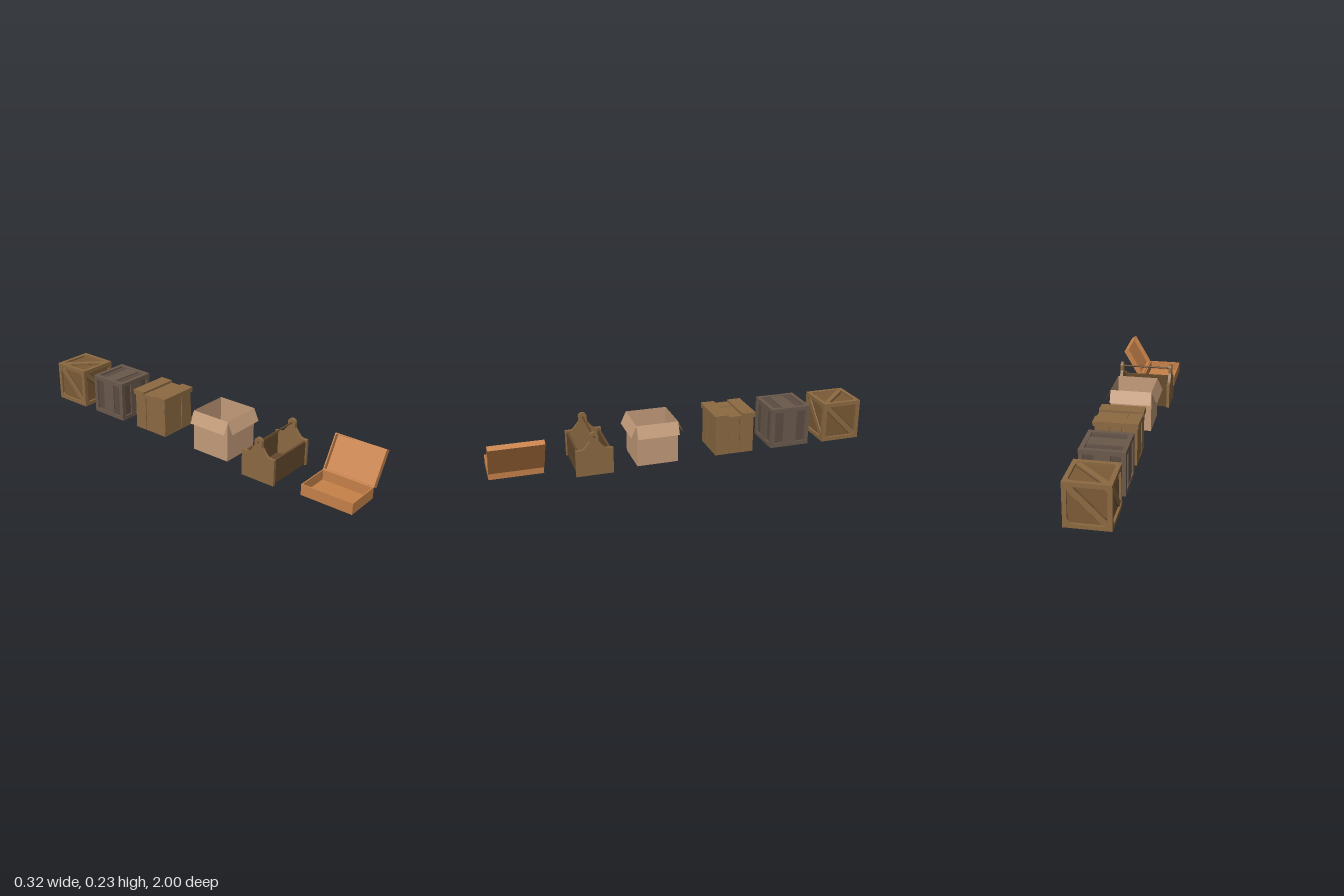
import * as THREE from 'three';

const mat = (name, color, side = THREE.FrontSide) => {
  const m = new THREE.MeshStandardMaterial({ color, side });
  m.name = name;
  return m;
};

export function createModel() {
  const root = new THREE.Group();
  root.name = 'boxCollection';
  const wood = mat('wood', 0x8c6a42);
  const darkWood = mat('darkWood', 0x64492c);
  const panelWood = mat('panelWood', 0x7c5b36);
  const greyWood = mat('greyWood', 0x6a594c);
  const greyPanel = mat('greyPanel', 0x5c4c42);
  const card = mat('cardboard', 0xc49c7a, THREE.DoubleSide);
  const orange = mat('orangeWood', 0xc8824a);

  const group = (name, x, y, z, parent = root) => {
    const g = new THREE.Group();
    g.name = name;
    g.position.set(x, y, z);
    parent.add(g);
    return g;
  };
  const add = (parent, name, geo, m, x = 0, y = 0, z = 0) => {
    const mesh = new THREE.Mesh(geo, m);
    mesh.name = name;
    mesh.position.set(x, y, z);
    parent.add(mesh);
    return mesh;
  };
  // box given by its minimum and maximum corners
  const box = (parent, name, m, x0, x1, y0, y1, z0, z1) =>
    add(parent, name, new THREE.BoxGeometry(x1 - x0, y1 - y0, z1 - z0), m,
      (x0 + x1) / 2, (y0 + y1) / 2, (z0 + z1) / 2);
  const poly = pts => pts.map(p => new THREE.Vector2(p[0], p[1]));
  const extrude = (shape, depth) =>
    new THREE.ExtrudeGeometry(shape, { depth, bevelEnabled: false, curveSegments: 10 });

  // runs build(face, index) in six groups whose +z points out of a cube
  const sixFaces = (parent, build) => {
    const turns = [[0, 0], [0, Math.PI / 2], [0, Math.PI], [0, -Math.PI / 2],
      [-Math.PI / 2, 0], [Math.PI / 2, 0]];
    turns.forEach(([rx, ry], i) => {
      const face = group('face', 0, 0, 0, parent);
      face.rotation.set(rx, ry, 0);
      build(face, i);
    });
  };

  // hollow tray, open towards +y, with its corner at the origin
  const tray = (parent, w, h, d, t) => {
    box(parent, 'trayFloor', orange, 0, w, 0, t, -d / 2, d / 2);
    for (const s of [0, 1]) {
      box(parent, 'trayEnd', orange, s * (w - t), s * (w - t) + t, t, h, -d / 2, d / 2);
      const z = s ? d / 2 - t : -d / 2;
      box(parent, 'traySide', orange, t, w - t, t, h, z, z + t);
    }
  };

  // hinged flat box
  const hinged = group('hingedBox', 0, 0, 0.858);
  tray(group('hingedBase', -0.145, 0.004, 0, hinged), 0.187, 0.058, 0.274, 0.006);
  const lid = group('hingedLid', 0.068, 0.047, 0, hinged);
  lid.rotation.z = Math.PI / 3;
  tray(lid, 0.186, 0.03, 0.274, 0.006);

  // tool carrier
  const carrier = group('toolCarrier', -0.0125, 0, 0.48);
  const end = new THREE.Shape();
  end.moveTo(-0.095, 0);
  end.lineTo(0.095, 0);
  end.lineTo(0.095, 0.138);
  end.lineTo(0.062, 0.138);
  end.quadraticCurveTo(0.05, 0.142, 0.022, 0.182);
  end.lineTo(0.022, 0.207);
  end.absarc(0, 0.207, 0.022, 0, Math.PI, false);
  end.lineTo(-0.022, 0.182);
  end.quadraticCurveTo(-0.05, 0.142, -0.062, 0.138);
  end.lineTo(-0.095, 0.138);
  end.closePath();
  for (const x of [-0.147, 0.131]) {
    const e = add(carrier, 'carrierEnd', extrude(end, 0.016), wood, x, 0, 0);
    e.rotation.y = Math.PI / 2;
  }
  for (const s of [-1, 1]) {
    const z = s * 0.082;
    box(carrier, 'carrierSide', darkWood, -0.131, 0.131, 0.004, 0.13, z - 0.006, z + 0.006);
  }
  box(carrier, 'carrierBottom', wood, -0.131, 0.131, 0.003, 0.01, -0.076, 0.076);
  box(carrier, 'carrierFloor', darkWood, -0.131, 0.131, 0.01, 0.016, -0.076, 0.076);
  const rod = add(carrier, 'carrierHandle', new THREE.CylinderGeometry(0.0045, 0.0045, 0.3, 10),
    darkWood, 0, 0.206, 0);
  rod.rotation.z = Math.PI / 2;

  // open cardboard carton: thin walls with a folded-out flap on each
  const carton = group('openCarton', 0, 0.004, 0.148);
  const half = 0.109, top = 0.22;
  const floor = add(carton, 'cartonFloor', new THREE.PlaneGeometry(2 * half, 2 * half), card);
  floor.rotation.x = -Math.PI / 2;
  for (let i = 0; i < 4; i++) {
    const side = group('cartonSide', 0, 0, 0, carton);
    side.rotation.y = i * Math.PI / 2;
    add(side, 'cartonWall', new THREE.PlaneGeometry(2 * half, top), card, 0, top / 2, half);
    const hinge = group('flapHinge', 0, top, half, side);
    hinge.rotation.x = -0.43;
    add(hinge, 'cartonFlap', new THREE.PlaneGeometry(2 * half, 0.07), card, 0, -0.035, 0);
  }

  // plank box with battened lid
  const plank = group('plankBox', 0, 0, -0.272);
  box(plank, 'plankCore', darkWood, -0.099, 0.099, 0.007, 0.205, -0.099, 0.099);
  for (let i = 0; i < 4; i++) {
    const side = group('plankSide', 0, 0, 0, plank);
    side.rotation.y = i * Math.PI / 2;
    [[-0.104, -0.033, 0.105], [-0.031, 0.028, 0.102], [0.03, 0.104, 0.105]].forEach(([a, b, out]) =>
      box(side, 'wallPlank', wood, a, b, 0.004, 0.205, 0.098, out));
  }
  [[-0.104, -0.036], [-0.034, 0.034], [0.036, 0.104]].forEach(([a, b]) =>
    box(plank, 'bottomPlank', wood, -0.104, 0.104, 0.004, 0.008, a, b));
  for (const s of [-1, 1]) {
    box(plank, 'lidBatten', wood, -0.113, 0.113, 0.2, 0.225, s * 0.075 - 0.037, s * 0.075 + 0.037);
  }
  box(plank, 'lidBoard', wood, -0.111, -0.04, 0.198, 0.215, -0.037, 0.037);
  box(plank, 'lidBoard', wood, -0.038, 0.111, 0.198, 0.213, -0.037, 0.037);

  // grey crate: square frames around recessed panels, each with a middle board
  const grey = group('greyCrate', 0, 0.115, -0.588);
  const g = 0.109;
  add(grey, 'greyCore', new THREE.BoxGeometry(0.2, 0.2, 0.2), greyPanel);
  sixFaces(grey, (face, i) => {
    const rim = new THREE.Shape(poly([[-g, -g], [g, -g], [g, g], [-g, g]]));
    const k = g - 0.022;
    rim.holes.push(new THREE.Path(poly([[-k, -k], [-k, k], [k, k], [k, -k]])));
    add(face, 'greyFrame', extrude(rim, 0.01), greyWood, 0, 0, g - 0.01);
    const board = add(face, 'greyBoard', new THREE.BoxGeometry(0.075, 2 * k, 0.007), greyWood, 0, 0, 0.103);
    if (i > 3) board.rotation.z = Math.PI / 2;
  });

  // braced crate: frames with cut-corner openings and a diagonal brace
  const braced = group('bracedCrate', 0, 0.112, -0.892);
  const c = 0.108;
  add(braced, 'bracedCore', new THREE.BoxGeometry(0.194, 0.194, 0.194), panelWood);
  sixFaces(braced, face => {
    const rim = new THREE.Shape(poly([[-c, -c], [c, -c], [c, c], [-c, c]]));
    const k = 0.087, q = 0.074;
    rim.holes.push(new THREE.Path(poly([[-q, -k], [-k, -q], [-k, q], [-q, k],
      [q, k], [k, q], [k, -q], [q, -k]])));
    add(face, 'crateFrame', extrude(rim, 0.011), wood, 0, 0, c - 0.011);
    const brace = add(face, 'crateBrace', new THREE.BoxGeometry(0.235, 0.026, 0.009), wood, 0, 0, 0.101);
    brace.rotation.z = -Math.PI / 4;
    // dark gaps beside the brace
    for (const s of [-1, 1]) {
      const gap = add(face, 'braceGap', new THREE.BoxGeometry(0.2, 0.005, 0.001), darkWood,
        s * 0.011, s * 0.011, 0.0975);
      gap.rotation.z = -Math.PI / 4;
    }
  });

  return root;
}
